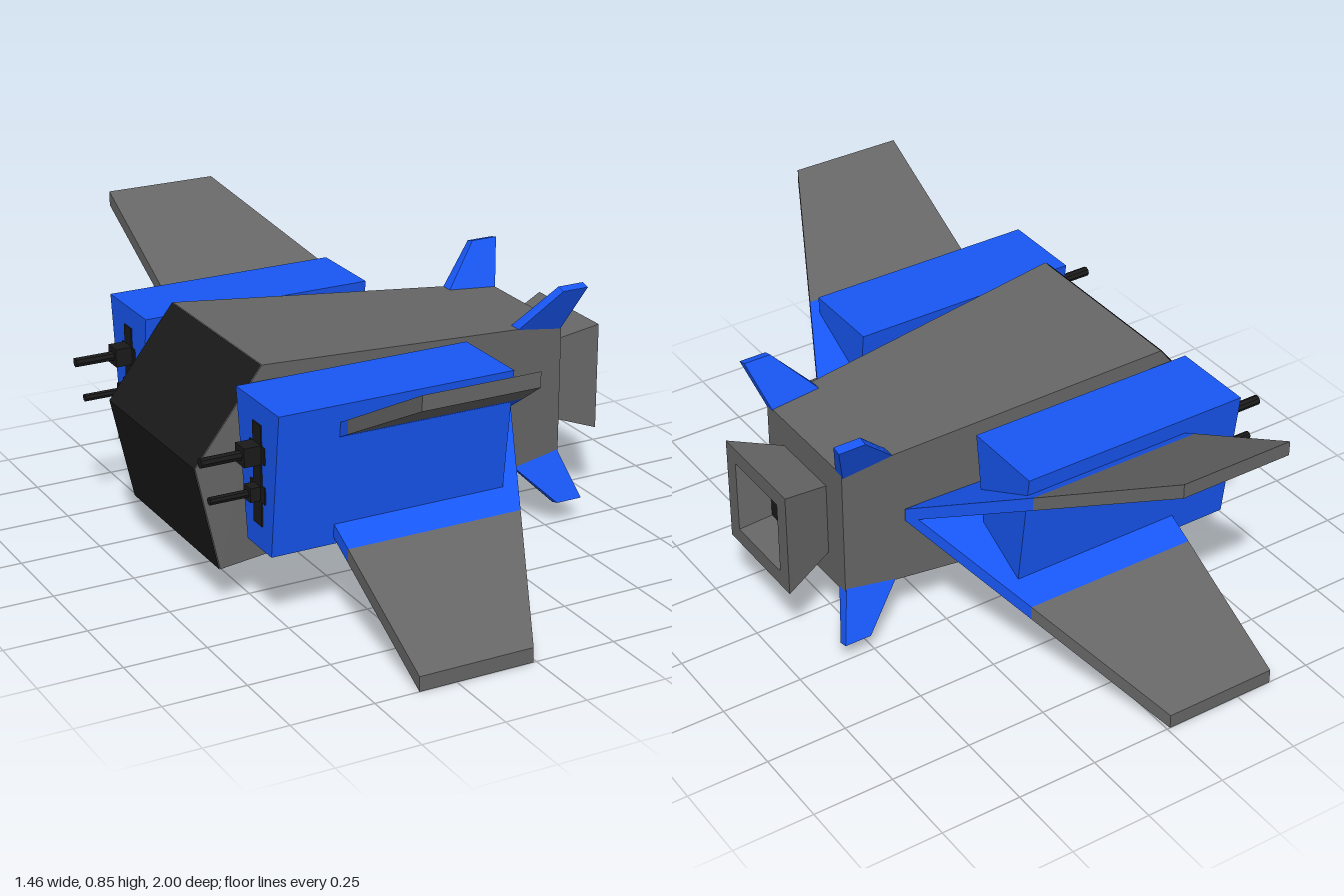
import * as THREE from 'three';
import { ConvexGeometry } from 'three/addons/geometries/ConvexGeometry.js';

const mat = (color) => new THREE.MeshStandardMaterial({ color, flatShading: true, side: THREE.DoubleSide });
const V = (p) => new THREE.Vector3(...p);

export function createModel() {
  const grey = mat(0x666666), blue = mat(0x1857f5), black = mat(0x1a1a1a);
  const model = new THREE.Group();

  const add = (name, geometry, material, x = 0, y = 0, z = 0) => {
    const mesh = new THREE.Mesh(geometry, material);
    mesh.name = name;
    mesh.position.set(x, y, z);
    model.add(mesh);
    return mesh;
  };
  // Flat-faced solid around a few corner points
  const solid = (name, points, material) => add(name, new ConvexGeometry(points.map(V)), material);
  const box = (name, w, h, d, material, x, y, z) => add(name, new THREE.BoxGeometry(w, h, d), material, x, y, z);

  // Hull: wedge nose tapering to a square stern
  const nose = [[-0.61, 0.12], [-0.68, 0.44], [-0.47, 0.71]];
  const stern = [[0.565, 0.625], [0.565, 0.205]];
  const hull = [];
  for (const s of [-1, 1]) {
    nose.forEach(([x, y]) => hull.push([x, y, s * 0.295]));
    stern.forEach(([x, y]) => hull.push([x, y, s * 0.207]));
  }
  solid('hull', hull, grey);

  // Dark windscreen panels over the two nose faces
  const screen = new THREE.BufferGeometry();
  const corners = [];
  for (let i = 0; i < 2; i++) {
    const [a, b] = [nose[i], nose[i + 1]];
    const p = (q, z) => [q[0] - 0.003, q[1], z];
    corners.push(p(a, -0.295), p(a, 0.295), p(b, 0.295), p(a, -0.295), p(b, 0.295), p(b, -0.295));
  }
  screen.setAttribute('position', new THREE.Float32BufferAttribute(corners.flat(), 3));
  screen.computeVertexNormals();
  add('windscreen', screen, black);

  // Square exhaust nozzle: flared outside, flat lip, tapered throat
  const profile = [[0.118, 0], [0.168, 0.16], [0.118, 0.16], [0.075, 0.07]];
  const nozzle = new THREE.LatheGeometry(
    profile.map(([r, h]) => new THREE.Vector2(r * Math.SQRT2, h)), 4, Math.PI / 4);
  nozzle.rotateZ(-Math.PI / 2);
  add('exhaustNozzle', nozzle, grey, 0.565, 0.415, 0);
  box('exhaustCore', 0.01, 0.15, 0.15, black, 0.634, 0.415, 0);

  // Wing slab: section points (z, y above the mid line) swept from leading to trailing edge
  const MID = 0.4225;
  const trailing = (z) => 0.375 - (z - 0.23) * 0.5;
  const wingPart = (name, section, sy, sz, material) => solid(name, section.flatMap(([z, y]) =>
    [-0.365, trailing(z)].map((x) => [x, MID + sy * y, sz * z])), material);

  for (const sz of [-1, 1]) {
    const side = sz > 0 ? 'front' : 'back';
    for (const sy of [-1, 1]) {
      const level = sy > 0 ? 'Upper' : 'Lower';
      wingPart(side + level + 'WingRoot',
        [[0.23, 0], [0.23, 0.02], [0.6, 0.213], [0.6, 0.17], [0.27, 0]], sy, sz, blue);
      wingPart(side + level + 'WingTip',
        [[0.6, 0.213], [1, 0.4225], [1, 0.3775], [0.6, 0.17]], sy, sz, grey);

      // Swept tail fin on the stern corner
      const fin = [
        [0.38, 0.195, 0.165], [0.38, 0.195, 0.208], [0.56, 0.19, 0.165], [0.56, 0.19, 0.205],
        [0.525, 0.345, 0.247], [0.525, 0.338, 0.275], [0.61, 0.345, 0.247], [0.61, 0.338, 0.275],
      ];
      solid(side + level + 'TailFin', fin.map(([x, y, z]) => [x, 0.415 + sy * y, sz * z]), blue);
    }

    // Weapon pod with a trapezoid section
    const pod = [[0.303, 0.667], [0.565, 0.667], [0.51, 0.232], [0.362, 0.232]];
    solid(side + 'Pod', pod.flatMap(([z, y]) => [-0.555, 0.18].map((x) => [x, y, sz * z])), blue);

    // Gun mount plate and two guns on the pod's nose
    const gz = sz * 0.435;
    box(side + 'GunPlate', 0.006, 0.3, 0.05, black, -0.556, 0.455, gz);
    const guns = [
      { name: 'UpperGun', y: 0.52, tip: -0.73, block: 0.055, size: 0.056, r: 0.015 },
      { name: 'LowerGun', y: 0.403, tip: -0.705, block: 0.035, size: 0.042, r: 0.012 },
    ];
    for (const g of guns) {
      const start = -0.555 - g.block;
      box(side + g.name + 'Plate', 0.006, 0.05, 0.09, black, -0.556, g.y, gz);
      box(side + g.name + 'Block', g.block, g.size, g.size, black, start + g.block / 2, g.y, gz);
      const barrel = new THREE.CylinderGeometry(g.r, g.r, start - g.tip, 8);
      barrel.rotateZ(Math.PI / 2);
      add(side + g.name + 'Barrel', barrel, black, (start + g.tip) / 2, g.y, gz);
    }
  }
  return model;
}
